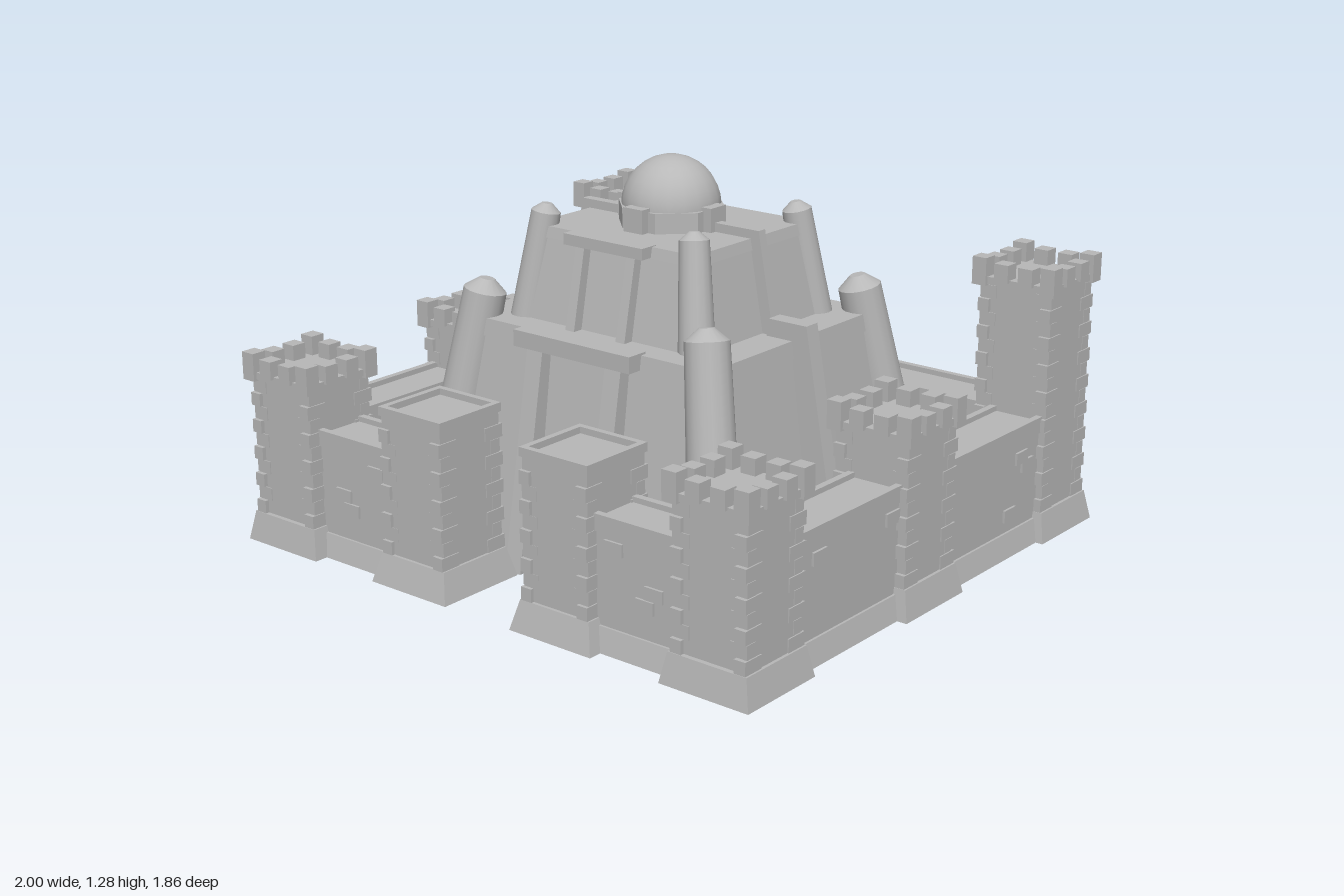
import * as THREE from 'three';

const stone = new THREE.MeshStandardMaterial({ color: 0xb8b8b8, side: THREE.DoubleSide });
stone.name = 'stone grey';

function add(parent, name, geometry, x = 0, y = 0, z = 0) {
  const mesh = new THREE.Mesh(geometry, stone);
  mesh.name = name;
  mesh.position.set(x, y, z);
  parent.add(mesh);
  return mesh;
}

function group(parent, name, x = 0, y = 0, z = 0) {
  const g = new THREE.Group();
  g.name = name;
  g.position.set(x, y, z);
  parent.add(g);
  return g;
}

// Box given by its limits
function block(parent, name, x0, x1, y0, y1, z0, z1) {
  const g = new THREE.BoxGeometry(Math.abs(x1 - x0), y1 - y0, Math.abs(z1 - z0));
  return add(parent, name, g, (x0 + x1) / 2, (y0 + y1) / 2, (z0 + z1) / 2);
}

// Box whose top has another size than its bottom, standing on y = 0
function taper(w0, d0, w1, d1, h, openBottom = false) {
  const g = new THREE.BoxGeometry(1, 1, 1);
  const p = g.attributes.position;
  for (let i = 0; i < p.count; i++) {
    const top = p.getY(i) > 0;
    p.setXYZ(i, p.getX(i) * (top ? w1 : w0), top ? h : 0, p.getZ(i) * (top ? d1 : d0));
  }
  if (openBottom) g.setIndex([...g.index.array].filter((_, i) => i < 18 || i >= 24));
  g.computeVertexNormals();
  return g;
}

// Side outline (points in a vertical plane) extruded to a centred thickness
function slab(points, thickness) {
  const shape = new THREE.Shape(points.map(([a, b]) => new THREE.Vector2(a, b)));
  return new THREE.ExtrudeGeometry(shape, { depth: thickness, bevelEnabled: false })
    .translate(0, 0, -thickness / 2);
}

// Raised rim around a flat roof
function rim(parent, hx, hz, t, y0, y1) {
  for (const s of [-1, 1]) {
    block(parent, 'roofRim', s * (hx - t), s * hx, y0, y1, -hz, hz);
    block(parent, 'roofRim', -hx + t, hx - t, y0, y1, s * (hz - t), s * hz);
  }
}

// Alternating corner stones
function quoins(parent, hx, hz, y0, y1) {
  const pitch = 0.0445;
  const rows = Math.floor((y1 - y0) / pitch);
  for (let r = 0; r < rows; r++) {
    const long = r % 2 === 0;
    const ox = long ? 0.004 : 0.002, oz = long ? 0.013 : 0.003;
    const lx = long ? 0.035 : 0.055, lz = long ? 0.06 : 0.035;
    for (const sx of [-1, 1]) for (const sz of [-1, 1]) {
      block(parent, 'cornerStone', sx * (hx - lx), sx * (hx + ox),
        y0 + r * pitch, y0 + (r + 1) * pitch - 0.003, sz * (hz - lz), sz * (hz + oz));
    }
  }
}

// Battlemented tower
function tower(parent, name, x, z, top) {
  const t = group(parent, name, x, 0, z);
  add(t, 'towerPlinth', taper(0.31, 0.305, 0.272, 0.272, 0.095), 0, 0.05, 0);
  block(t, 'towerBody', -0.126, 0.126, 0.14, top - 0.07, -0.121, 0.121);
  quoins(t, 0.126, 0.121, 0.145, top - 0.085);
  block(t, 'towerPlatform', -0.136, 0.136, top - 0.085, top - 0.062, -0.136, 0.136);
  const spots = [-0.122, -0.043, 0.043, 0.122];
  spots.forEach((mx, i) => spots.forEach((mz, j) => {
    const endX = i % 3 === 0, endZ = j % 3 === 0;
    if (!endX && !endZ) return;
    const corner = endX && endZ;
    const y0 = corner ? top - 0.09 : top - 0.07, y1 = corner ? top : top - 0.012;
    block(t, 'merlon', mx - 0.025, mx + 0.025, y0, y1, mz - 0.025, mz + 0.025);
  }));
}

// Wall running along its local x, outer face towards local +z
function wall(parent, name, length, half, x, z, turn, stones) {
  const w = group(parent, name, x, 0, z);
  w.rotation.y = turn;
  const l = length / 2;
  add(w, 'wallPlinth', taper(length, 2 * half + 0.05, length, 2 * half + 0.015, 0.075), 0, 0.05, 0);
  block(w, 'wallBody', -l, l, 0.12, 0.415, -half, half);
  block(w, 'wallWalk', -l, l, 0.41, 0.445, -half - 0.008, half + 0.008);
  for (const s of [-1, 1]) {
    block(w, 'wallCoping', -l, l, 0.41, 0.462, s * (half - 0.012), s * (half + 0.01));
  }
  for (const [sx, sy, sw = 0.065, sh = 0.04] of stones) {
    block(w, 'wallStone', sx - sw / 2, sx + sw / 2, sy - sh / 2, sy + sh / 2, half - 0.002, half + 0.008);
  }
}

// Leaning round pillar with a blunt cap
function pillar(parent, name, from, to, r0, r1) {
  const a = new THREE.Vector3(...from), b = new THREE.Vector3(...to);
  const axis = b.clone().sub(a), h = axis.length();
  const g = group(parent, name, ...from);
  g.quaternion.setFromUnitVectors(new THREE.Vector3(0, 1, 0), axis.normalize());
  add(g, 'pillarShaft', new THREE.CylinderGeometry(r1, r0, h, 16), 0, h / 2, 0);
  add(g, 'pillarCap', new THREE.CylinderGeometry(r1 * 0.35, r1, r1 * 0.55, 16), 0, h + r1 * 0.275, 0);
}

export function createModel() {
  const root = new THREE.Group();
  root.name = 'fortress';

  // Outer towers, walls and gate towers
  for (const s of [-1, 1]) {
    tower(root, 'backTower', s * 0.837, -0.78, 0.945);
    tower(root, 'sideTower', s * 0.845, 0.01, 0.675);
    tower(root, 'frontTower', s * 0.845, 0.77, 0.675);

    wall(root, 'frontWall', 0.34, 0.085, s * 0.565, 0.767, 0,
      [[s * 0.055, 0.268], [s * 0.022, 0.225], [s * -0.09, 0.37]]);
    const zs = (list) => list.map(([z, y]) => [-s * z, y]);
    wall(root, 'sideWallFront', 0.56, 0.085, s * 0.857, 0.39, s * Math.PI / 2,
      zs([[0.14, 0.365], [-0.22, 0.37]]));
    wall(root, 'sideWallBack', 0.56, 0.085, s * 0.857, -0.385, s * Math.PI / 2,
      zs([[-0.165, 0.355], [-0.2, 0.322], [-0.105, 0.182]]));

    const gate = group(root, 'gateTower', s * 0.285, 0, 0.763);
    add(gate, 'gatePlinth', taper(0.31, 0.315, 0.262, 0.268, 0.095), 0, 0.05, 0);
    block(gate, 'gateBody', -0.122, 0.122, 0.14, 0.59, -0.124, 0.124);
    quoins(gate, 0.122, 0.122, 0.145, 0.575);
    rim(gate, 0.128, 0.13, 0.02, 0.582, 0.61);
  }
  wall(root, 'backWall', 1.42, 0.095, 0, -0.767, Math.PI,
    [[-0.52, 0.35], [-0.42, 0.21], [-0.12, 0.34], [-0.08, 0.3], [0.08, 0.2], [0.24, 0.35], [0.42, 0.25], [0.46, 0.21]]);

  // Stepped keep
  const keep = group(root, 'keep', 0, 0, 0.018);
  add(keep, 'lowerTier', taper(1.16, 1.03, 0.98, 0.85, 0.68, true), 0, 0.05, 0);
  add(keep, 'lowerCornice', taper(0.99, 0.86, 0.975, 0.845, 0.055), 0, 0.73, 0);
  add(keep, 'upperTier', taper(0.74, 0.665, 0.645, 0.565, 0.26), 0, 0.78, 0);
  add(keep, 'upperCornice', taper(0.655, 0.575, 0.64, 0.56, 0.035), 0, 1.037, 0);

  // Drum and dome
  add(keep, 'domeDrum', new THREE.CylinderGeometry(0.17, 0.17, 0.07, 8).rotateY(Math.PI / 8).toNonIndexed(), 0, 1.1, 0)
    .geometry.computeVertexNormals();
  for (let i = 0; i < 4; i++) {
    const a = i * Math.PI / 2;
    add(keep, 'drumBlock', new THREE.BoxGeometry(0.075, 0.08, 0.05).rotateY(a),
      Math.sin(a) * 0.16, 1.107, Math.cos(a) * 0.16);
  }
  add(keep, 'dome', new THREE.SphereGeometry(0.155, 20, 8, 0, Math.PI * 2, 0, Math.PI / 2), 0, 1.13, 0);

  // Leaning pillars and side fins
  for (const s of [-1, 1]) {
    pillar(root, 'frontLowerPillar', [s * 0.57, 0.05, 0.505], [s * 0.44, 0.86, 0.395], 0.085, 0.068);
    pillar(root, 'backLowerPillar', [s * 0.57, 0.05, -0.5], [s * 0.44, 0.86, -0.375], 0.085, 0.068);
    pillar(root, 'frontUpperPillar', [s * 0.34, 0.74, 0.315], [s * 0.292, 1.11, 0.27], 0.058, 0.046);
    pillar(root, 'backUpperPillar', [s * 0.34, 0.74, -0.285], [s * 0.292, 1.11, -0.238], 0.058, 0.046);

    const lower = add(root, 'lowerFin', slab([[0.29, 0], [0.69, 0], [0.54, 0.84], [0.4, 0.84]], 0.056), 0, 0, 0.018);
    const upper = add(root, 'upperFin', slab([[0.16, 0.78], [0.41, 0.78], [0.35, 1.1], [0.16, 1.1]], 0.032), 0, 0, 0.018);
    if (s < 0) lower.rotation.y = upper.rotation.y = Math.PI;

    // Sloping door jambs
    const jamb = add(root, 'lowerJamb', slab([[-0.5, 0.05], [-0.6, 0.05], [-0.48, 0.75], [-0.4, 0.75]], 0.062), s * 0.155, 0, 0);
    jamb.rotation.y = Math.PI / 2;
    const jamb2 = add(root, 'upperJamb', slab([[-0.32, 0.78], [-0.385, 0.78], [-0.33, 1.05], [-0.27, 1.05]], 0.035), s * 0.1, 0, 0);
    jamb2.rotation.y = Math.PI / 2;
  }

  // Lintels and door
  block(root, 'lowerLintel', -0.23, 0.23, 0.74, 0.792, 0.42, 0.495);
  block(root, 'upperLintel', -0.155, 0.155, 1.04, 1.075, 0.28, 0.345);
  block(root, 'door', -0.1, 0.1, 0.05, 0.25, 0.48, 0.545);

  return root;
}
